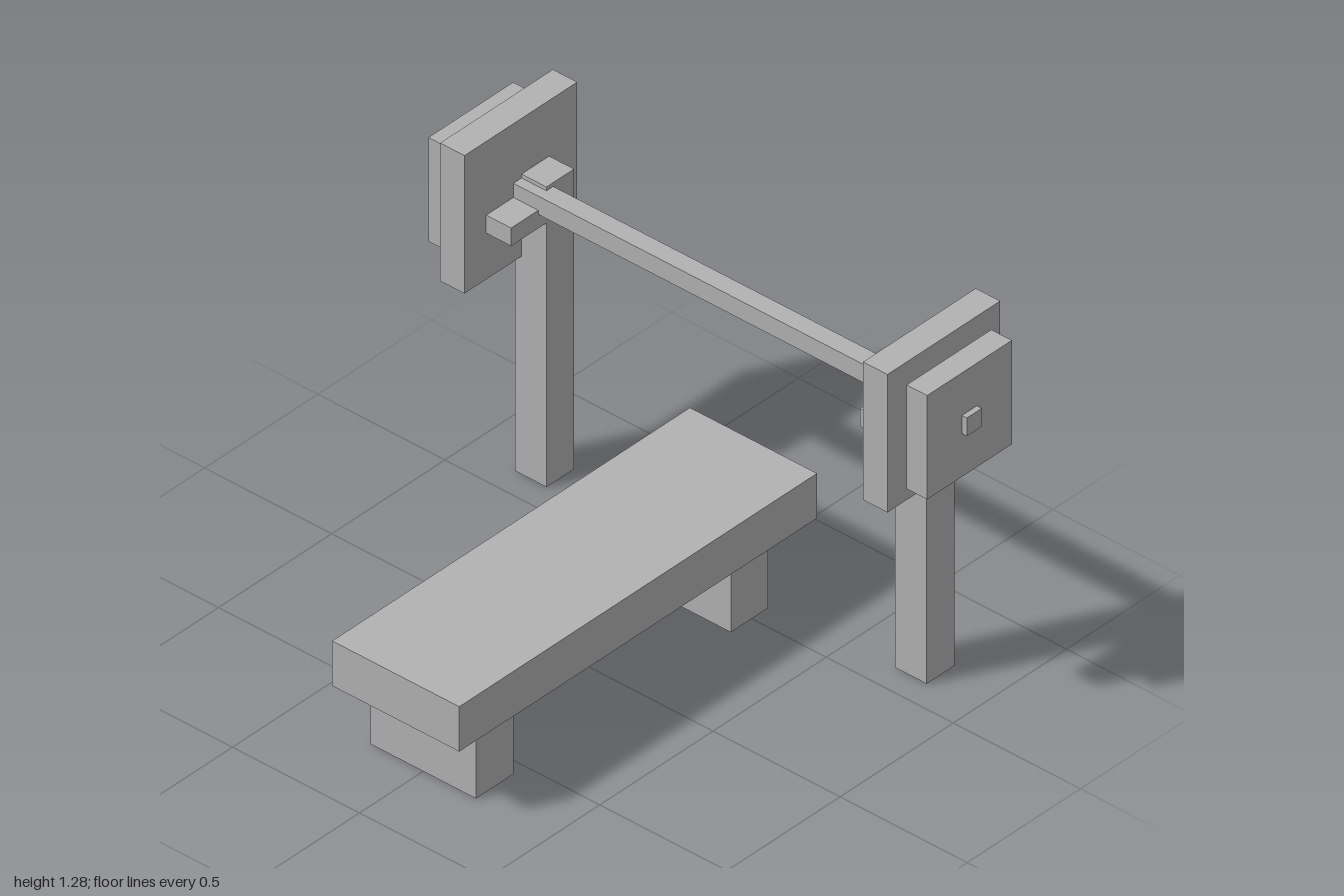
import * as THREE from 'three';

export function createModel() {
  const group = new THREE.Group();
  group.name = 'benchPress';
  const grey = new THREE.MeshStandardMaterial({ color: 0xb2b2b2 });
  grey.name = 'grey';

  // Box given by its limits on each axis
  function box(name, [x0, x1], [y0, y1], [z0, z1]) {
    const mesh = new THREE.Mesh(new THREE.BoxGeometry(x1 - x0, y1 - y0, z1 - z0), grey);
    mesh.position.set((x0 + x1) / 2, (y0 + y1) / 2, (z0 + z1) / 2);
    mesh.name = name;
    group.add(mesh);
  }

  // The same box on both sides
  function pair(name, [x0, x1], y, z) {
    box(name + 'Left', [x0, x1], y, z);
    box(name + 'Right', [-x1, -x0], y, z);
  }

  // Bench
  box('benchPad', [-0.25, 0.25], [0.255, 0.417], [-0.74, 0.84]);
  box('frontLeg', [-0.207, 0.207], [0, 0.255], [0.552, 0.718]);
  box('backLeg', [-0.207, 0.207], [0, 0.255], [-0.573, -0.408]);

  // Rack
  pair('upright', [0.686, 0.81], [0, 1.083], [-0.718, -0.596]);
  pair('barHook', [0.686, 0.81], [0.953, 1.018], [-0.596, -0.44]);

  // Barbell
  box('bar', [-1, 1], [1.003, 1.069], [-0.626, -0.56]);
  pair('largePlate', [0.784, 0.88], [0.786, 1.284], [-0.842, -0.344]);
  pair('smallPlate', [0.9, 0.981], [0.848, 1.223], [-0.78, -0.406]);

  return group;
}
